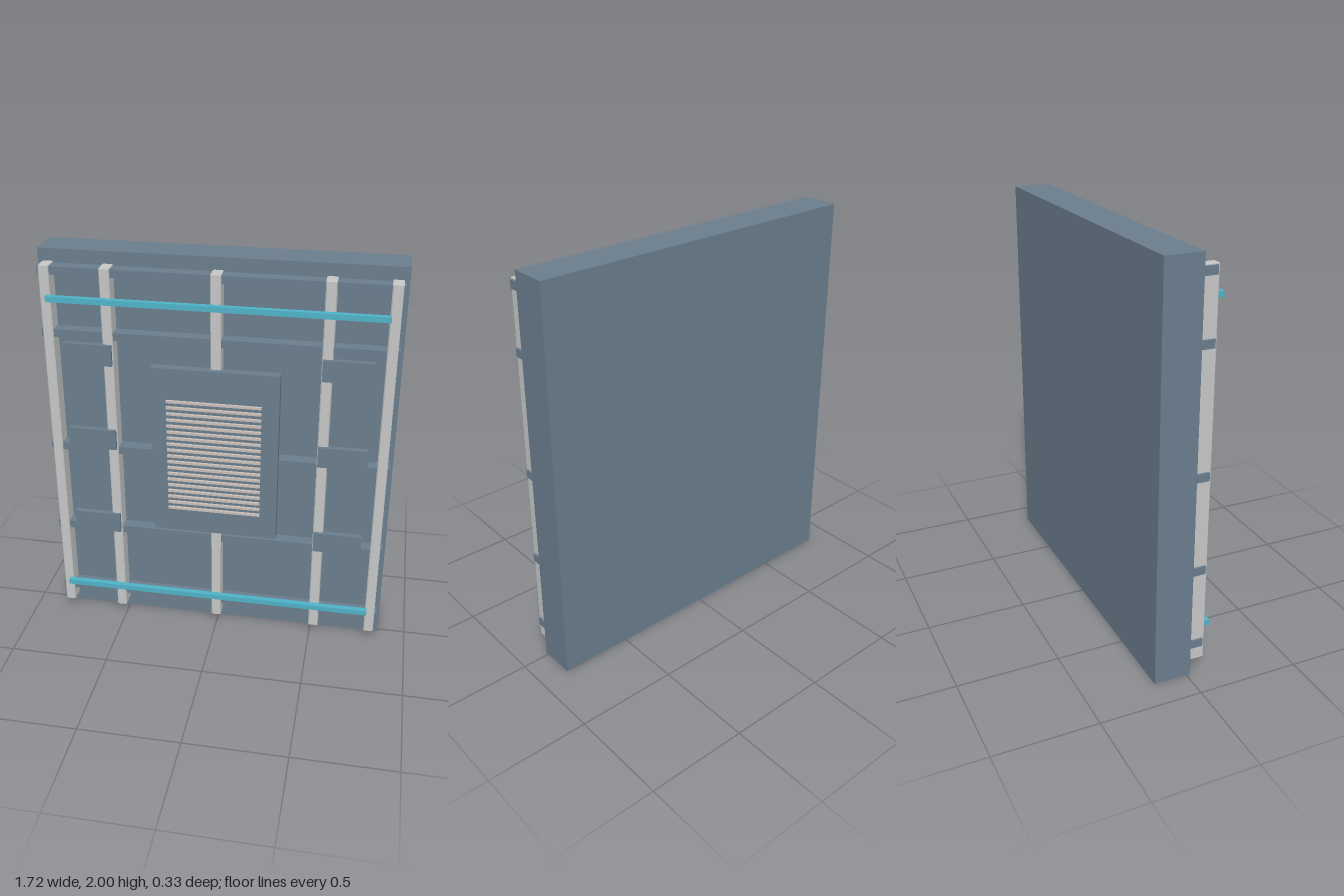
import * as THREE from 'three';

export function createModel() {
  const model = new THREE.Group();
  model.name = 'wallPanel';

  const material = (name, color) => {
    const m = new THREE.MeshStandardMaterial({ color });
    m.name = name;
    return m;
  };
  const slate = material('slateBlue', 0x6a7d8d);
  const pale = material('paleGrey', 0xc6c7c7);
  const teal = material('teal', 0x4fb3c8);
  const beige = material('warmGrey', 0xcbc0b9);

  // Box given by its lower and upper limits on each axis
  const box = (name, mat, [x0, x1], [y0, y1], [z0, z1]) => {
    const mesh = new THREE.Mesh(new THREE.BoxGeometry(x1 - x0, y1 - y0, z1 - z0), mat);
    mesh.position.set((x0 + x1) / 2, (y0 + y1) / 2, (z0 + z1) / 2);
    mesh.name = name;
    model.add(mesh);
  };

  // Thick backing slab
  box('backSlab', slate, [-0.86, 0.86], [0, 2], [-0.165, 0.018]);

  // Horizontal rails behind the posts
  for (const y of [0.147, 0.536, 1.003, 1.608, 1.916]) {
    box('rail', slate, [-0.845, 0.845], [y - 0.02, y + 0.02], [0.028, 0.089]);
  }

  // Upright posts with slightly chamfered long edges
  const w = 0.025, z0 = 0.018, z1 = 0.102, c = 0.005;
  const section = new THREE.Shape([
    [-w + c, -z1], [w - c, -z1], [w, -z1 + c], [w, -z0 - c],
    [w - c, -z0], [-w + c, -z0], [-w, -z0 - c], [-w, -z1 + c],
  ].map(([x, y]) => new THREE.Vector2(x, y)));
  const postGeometry = new THREE.ExtrudeGeometry(section, { depth: 1.88, bevelEnabled: false });
  postGeometry.rotateX(-Math.PI / 2);
  for (const x of [-0.81, -0.52, 0, 0.52, 0.81]) {
    const post = new THREE.Mesh(postGeometry, pale);
    post.position.set(x, 0.06, 0);
    post.name = 'post';
    model.add(post);
  }

  // Small plates bridging the outer bays
  for (const y of [0.587, 1.07, 1.519]) {
    box('leftPlate', slate, [0.5, 0.738], [y - 0.053, y + 0.053], [0.089, 0.117]);
    box('rightPlate', slate, [-0.738, -0.5], [y - 0.053, y + 0.053], [0.089, 0.117]);
  }

  // Central cover and its grille of slats
  box('centreCover', slate, [-0.31, 0.31], [0.592, 1.482], [0.083, 0.128]);
  for (let i = 0; i < 19; i++) {
    const y = 0.742 + i * 0.0325;
    box('slat', beige, [-0.23, 0.23], [y - 0.006, y + 0.006], [0.153, 0.165]);
  }

  // Teal cross bars
  for (const y of [0.207, 1.797]) {
    box('crossBar', teal, [-0.793, 0.793], [y - 0.0135, y + 0.0135], [0.124, 0.151]);
  }

  return model;
}
